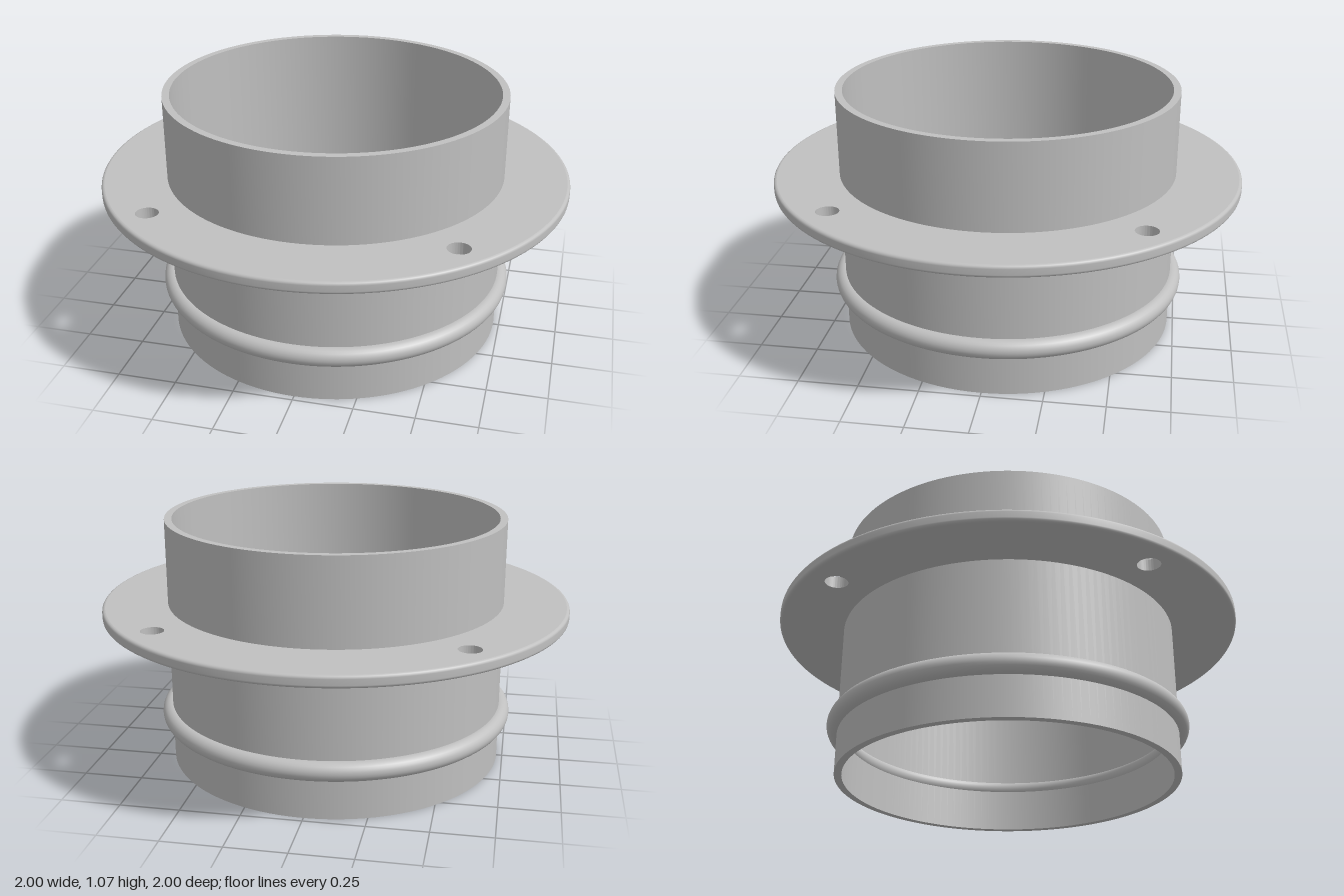
import * as THREE from 'three';
import { toCreasedNormals } from 'three/addons/utils/BufferGeometryUtils.js';

const SEG = 128;

// Revolve a closed profile of [radius, height] pairs, keeping its corners sharp
function revolve(profile) {
  const pts = [...profile, profile[0]].map(([r, y]) => new THREE.Vector2(r, y));
  return toCreasedNormals(new THREE.LatheGeometry(pts, SEG), 0.6);
}

export function createModel() {
  const model = new THREE.Group();
  model.name = 'flangedPipeCollar';
  const metal = new THREE.MeshStandardMaterial({ color: 0xc0c0c0 });
  metal.name = 'light grey metal';

  const add = (name, geometry) => {
    const mesh = new THREE.Mesh(geometry, metal);
    mesh.name = name;
    model.add(mesh);
    return mesh;
  };

  // Thin-walled pipe, open at both ends
  const outer = 0.725, inner = 0.694, height = 1.066;
  add('pipe', revolve([[outer, 0], [outer, height], [inner, height], [inner, 0]]));

  // Rounded bead around the lower end
  const bead = add('bead', new THREE.TorusGeometry(0.728, 0.041, 24, SEG));
  bead.rotation.x = Math.PI / 2;
  bead.position.y = 0.21;

  // Flange plate with four bolt holes
  const y0 = 0.655, thick = 0.05, fillet = 0.013;
  const plate = new THREE.Shape().absarc(0, 0, 1 - fillet, 0, Math.PI * 2);
  plate.holes.push(new THREE.Path().absarc(0, 0, 0.71, 0, Math.PI * 2, true));
  for (const x of [-0.62, 0.62]) {
    for (const z of [-0.62, 0.62]) {
      plate.holes.push(new THREE.Path().absarc(x, z, 0.047, 0, Math.PI * 2, true));
    }
  }
  const plateGeometry = new THREE.ExtrudeGeometry(plate, {
    depth: thick, bevelEnabled: false, curveSegments: SEG / 2,
  });
  plateGeometry.rotateX(-Math.PI / 2);
  add('flangePlate', toCreasedNormals(plateGeometry, 0.6)).position.y = y0;

  // Flange rim with filleted edges
  const rim = [];
  for (const [centre, start] of [[y0 + fillet, -Math.PI / 2], [y0 + thick - fillet, 0]]) {
    for (let i = 0; i <= 4; i++) {
      const a = start + (i / 4) * Math.PI / 2;
      rim.push(new THREE.Vector2(1 - fillet + fillet * Math.cos(a), centre + fillet * Math.sin(a)));
    }
  }
  add('flangeRim', new THREE.LatheGeometry(rim, SEG));

  return model;
}
